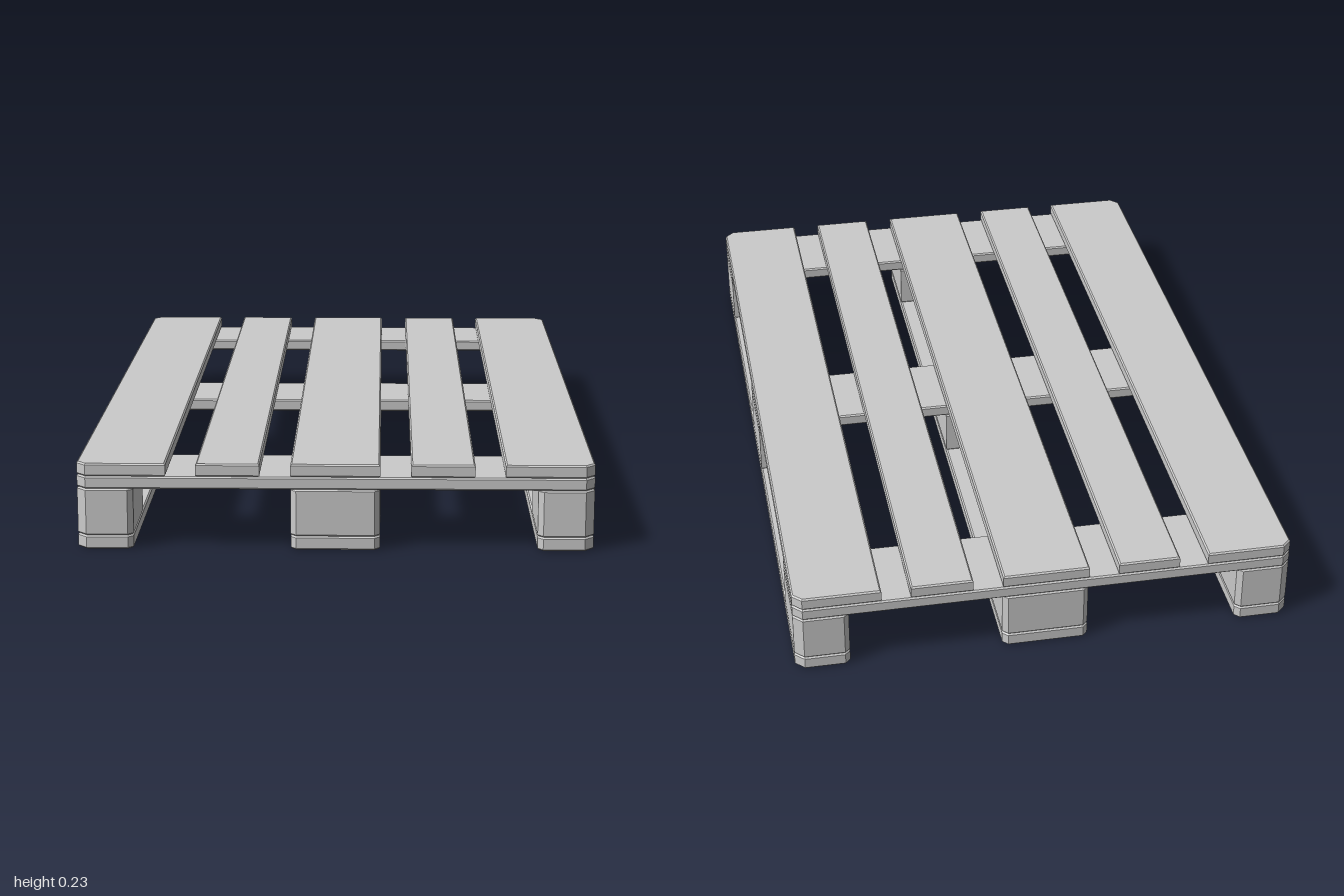
import * as THREE from 'three';

const material = new THREE.MeshStandardMaterial({ color: 0xcccccc, flatShading: true });
const EDGE = 0.004; // small worn bevel on every plank edge
const HALF_W = 0.665;
const HALF_L = 1;

// A plank or block: rectangular plan with cut end corners, extruded upward.
function plank(name, [x0, x1], [y0, y1], [z0, z1], endCut = 0) {
  const cut = (x, z) => {
    if (Math.abs(z) < HALF_L - 0.01) return 0;
    return Math.abs(x) > HALF_W - 0.01 ? 0.024 : endCut;
  };
  const corners = [[x0, z0, 1, 1], [x1, z0, -1, 1], [x1, z1, -1, -1], [x0, z1, 1, -1]];
  const points = [];
  corners.forEach(([x, z, dx, dz], i) => {
    const c = cut(x, z);
    if (!c) {
      points.push(new THREE.Vector2(x, z));
      return;
    }
    const pair = [new THREE.Vector2(x, z + dz * c), new THREE.Vector2(x + dx * c, z)];
    points.push(...(i % 2 ? pair.reverse() : pair));
  });
  const geometry = new THREE.ExtrudeGeometry(new THREE.Shape(points), {
    depth: y1 - y0 - 2 * EDGE,
    bevelEnabled: true,
    bevelThickness: EDGE,
    bevelSize: EDGE,
    bevelOffset: -EDGE,
    bevelSegments: 1,
  });
  geometry.rotateX(Math.PI / 2).translate(0, y1 - EDGE, 0);
  const mesh = new THREE.Mesh(geometry, material);
  mesh.name = name;
  return mesh;
}

export function createModel() {
  const pallet = new THREE.Group();
  pallet.name = 'pallet';

  const full = [-HALF_L, HALF_L];
  const runners = [[-HALF_W, -0.52], [-0.115, 0.115], [0.52, HALF_W]];
  const rows = [[-HALF_L, -0.765], [-0.117, 0.117], [0.765, HALF_L]];
  const deck = [[-HALF_W, -0.435], [-0.358, -0.194], [-0.115, 0.115], [0.194, 0.358], [0.435, HALF_W]];

  // Bottom runners, with spacer blocks standing on them
  for (const x of runners) {
    pallet.add(plank('bottomBoard', x, [0, 0.036], full, 0.014));
    for (const z of rows) pallet.add(plank('spacerBlock', x, [0.036, 0.16], z, 0.014));
  }

  // Cross boards over the blocks
  for (const z of rows) pallet.add(plank('crossBoard', [-HALF_W, HALF_W], [0.16, 0.193], z));

  // Top deck boards
  for (const x of deck) pallet.add(plank('deckBoard', x, [0.193, 0.227], full));

  return pallet;
}
